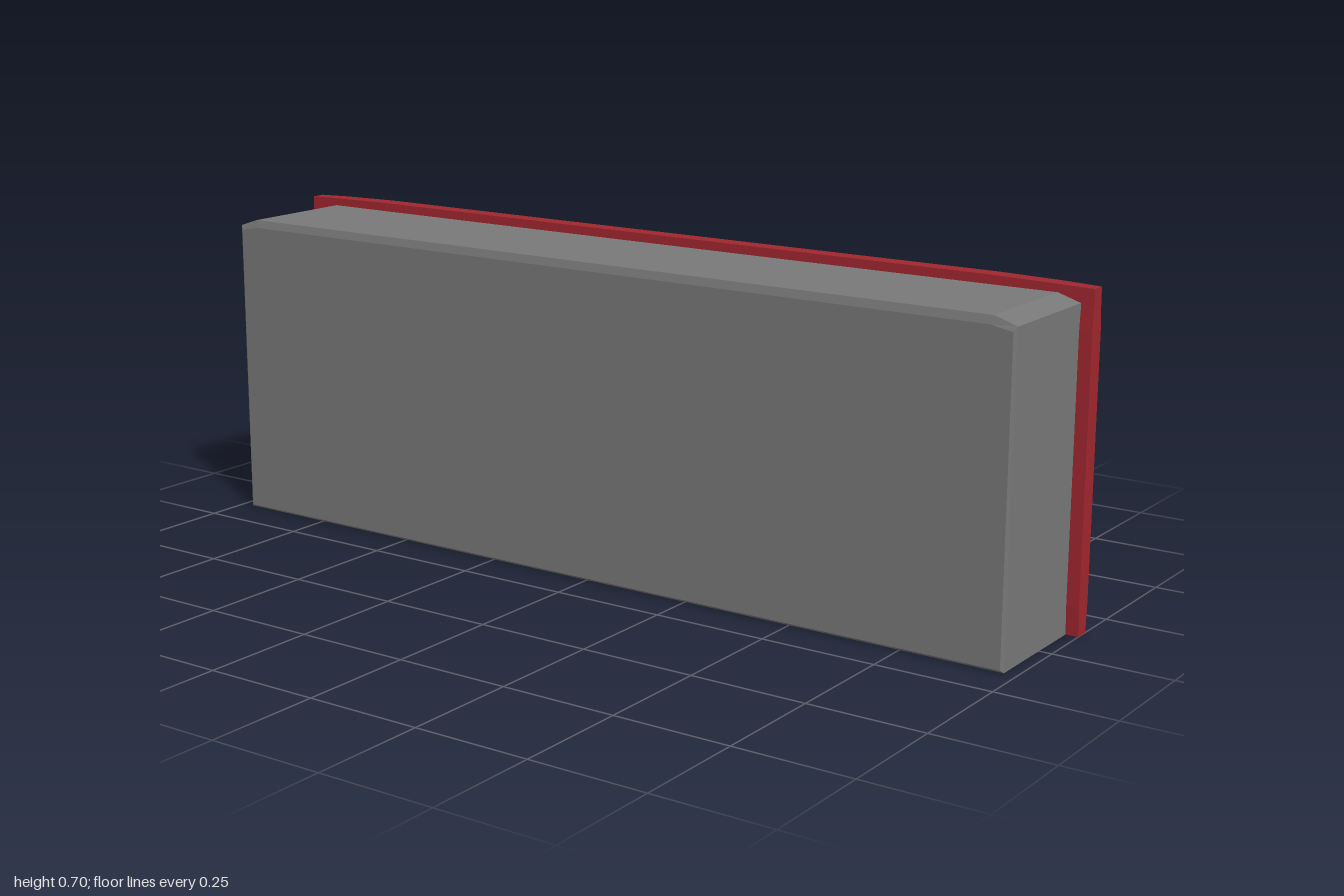
import * as THREE from 'three';

const makeMaterial = (color) => new THREE.MeshStandardMaterial({ color, flatShading: true, side: THREE.DoubleSide });
const red = makeMaterial(0xa0262e);
const darkGrey = makeMaterial(0x787878);
const lightGrey = makeMaterial(0xcccccc);

// Skin over rings of [x, y, z] points; closed rings join their last point to the first
function loft(name, material, rings, { closed = true, capStart = false, capEnd = false } = {}) {
  const n = rings[0].length;
  const index = [];
  for (let r = 0; r < rings.length - 1; r++) {
    for (let i = 0; i < (closed ? n : n - 1); i++) {
      const a = r * n + i, b = r * n + (i + 1) % n;
      index.push(a, a + n, b + n, a, b + n, b);
    }
  }
  const last = (rings.length - 1) * n;
  for (let i = 1; i < n - 1; i++) {
    if (capStart) index.push(0, i, i + 1);
    if (capEnd) index.push(last, last + i + 1, last + i);
  }
  const geo = new THREE.BufferGeometry();
  geo.setAttribute('position', new THREE.Float32BufferAttribute(rings.flat(2), 3));
  geo.setIndex(index);
  const flat = geo.toNonIndexed();
  flat.computeVertexNormals();
  const mesh = new THREE.Mesh(flat, material);
  mesh.name = name;
  return mesh;
}

// Square bar along y; each station is [y, half width, half depth, z shift]
function bar(name, stations) {
  const rings = stations.map(([y, w, d, s = 0]) => [
    [w, y, s - d], [w, y, s + d], [-w, y, s + d], [-w, y, s - d],
  ]);
  return loft(name, red, rings, { capStart: true, capEnd: true });
}

export function createModel() {
  const group = new THREE.Group();
  const frameX = 0.135;

  // Posts, slimmer at both ends
  for (const side of [-1, 1]) {
    const post = bar(side > 0 ? 'frontPost' : 'backPost', [
      [0, 0.0165, 0.0175], [0.06, 0.0195, 0.0175], [0.61, 0.0195, 0.0175], [0.664, 0.0155, 0.0175],
    ]);
    post.position.set(frameX, 0, side * 0.9825);
    group.add(post);
  }

  // Crossbar, slightly lower and slimmer at its ends
  const crossbar = bar('crossbar', [
    [-1, 0.0155, 0.0165, 0.004], [-0.92, 0.0185, 0.017, 0.002], [-0.78, 0.0195, 0.0175],
    [0.78, 0.0195, 0.0175], [0.92, 0.0185, 0.017, 0.002], [1, 0.0155, 0.0165, 0.004],
  ]);
  crossbar.rotation.x = Math.PI / 2;
  crossbar.position.set(frameX, 0.6825, 0);
  group.add(crossbar);

  // Net outside: chamfered along the ends of the top and around the rear panel
  const outline = (x, z, zTop, y0, y1, y2) => [
    [x, y0, z], [x, y1, z], [x, y2, zTop], [x, y2, -zTop], [x, y1, -z], [x, y0, -z],
  ];
  const mouth = outline(0.12, 0.973, 0.925, 0, 0.665, 0.681);
  const rear = outline(-0.15, 0.973, 0.925, 0, 0.665, 0.681);
  const panel = outline(-0.155, 0.967, 0.92, 0.005, 0.655, 0.664);
  group.add(
    loft('netSidesAndTop', darkGrey, [mouth, rear], { closed: false }),
    loft('netBack', darkGrey, [rear, panel], { capEnd: true }),
  );

  // Net lining: a plain box, open at the mouth and below
  const y0 = 0.007, y1 = 0.664, z = 0.968, back = -0.146;
  const liningRing = (x) => [[x, y0, z], [x, y1, z], [x, y1, -z], [x, y0, -z]];
  group.add(loft('netLining', lightGrey, [liningRing(0.12), liningRing(back)], { closed: false, capEnd: true }));

  // Bottom hem between the outside and the lining
  const hemPath = (x, y, w) => [[0.12, y, w], [x, y, w], [x, y, -w], [0.12, y, -w]];
  group.add(loft('netHem', darkGrey, [hemPath(-0.15, 0, 0.973), hemPath(back, y0, z)], { closed: false }));

  return group;
}
